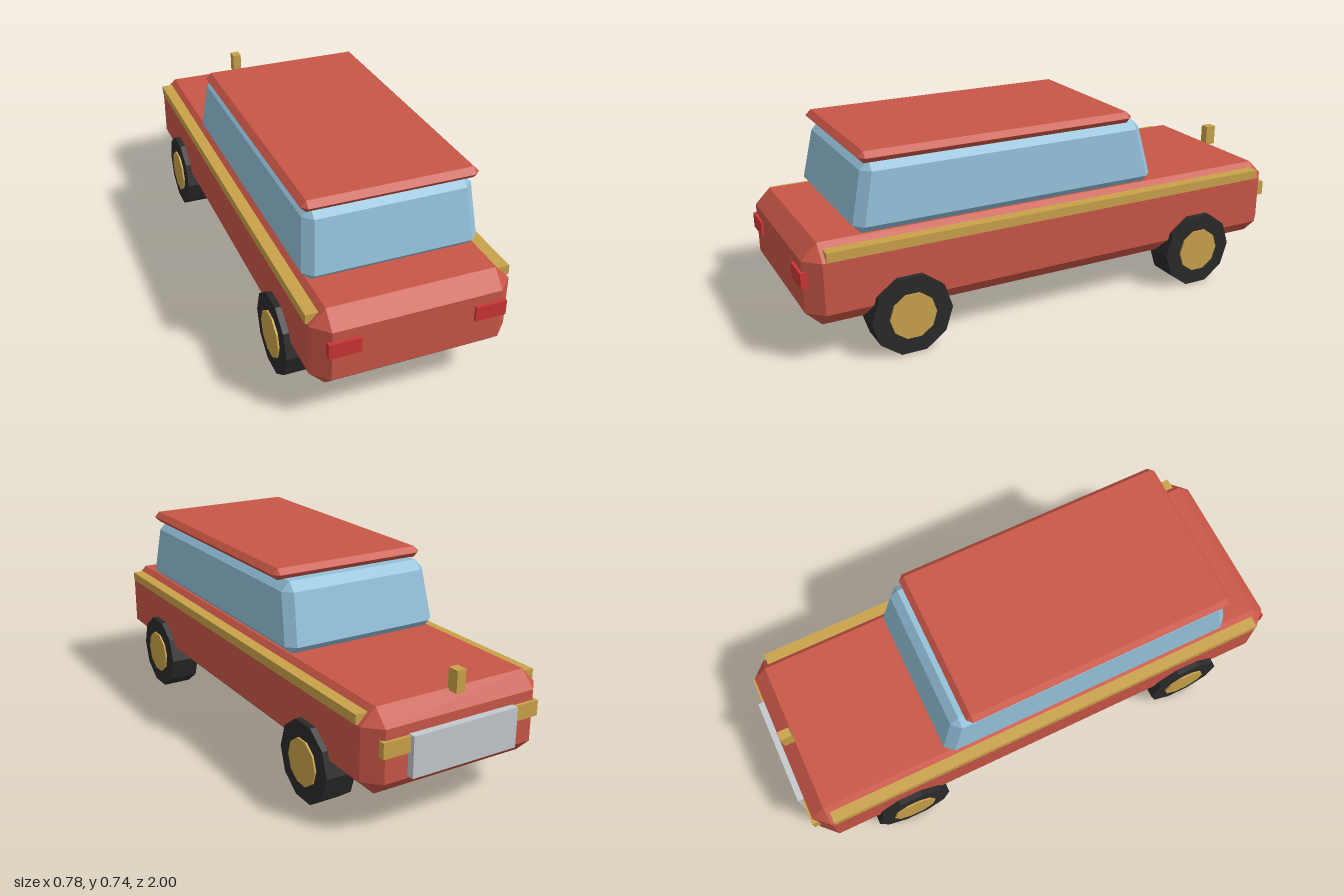
import * as THREE from 'three';
import { ConvexGeometry } from 'three/addons/geometries/ConvexGeometry.js';

const mat = (name, color) => {
  const m = new THREE.MeshStandardMaterial({ color });
  m.name = name;
  return m;
};

// Box with chamfered edges between y0 and y1; the side walls taper from
// the low outline to the high one. An outline is [halfWidth, zBack, zFront].
function chamferedBox(low, high, y0, y1, c) {
  const pts = [];
  for (const [[w, zb, zf], yCap, yWall] of [[low, y0, y0 + c], [high, y1, y1 - c]]) {
    for (const sx of [-1, 1]) {
      for (const [z, sz] of [[zb, -1], [zf, 1]]) {
        pts.push(
          new THREE.Vector3(sx * (w - c), yCap, z - sz * c),
          new THREE.Vector3(sx * w, yWall, z - sz * c),
          new THREE.Vector3(sx * (w - c), yWall, z),
        );
      }
    }
  }
  return new ConvexGeometry(pts);
}

export function createModel() {
  const car = new THREE.Group();
  car.name = 'car';
  const red = mat('red paint', 0xc85646);
  const glass = mat('blue glass', 0x92c0d8);
  const gold = mat('gold trim', 0xc9a24a);
  const rubber = mat('black rubber', 0x2a2a2a);
  const lamp = mat('lamp red', 0xcc3535);
  const silver = mat('silver', 0xc2c8cc);

  const add = (name, geo, material, parent = car) => {
    const mesh = new THREE.Mesh(geo, material);
    mesh.name = name;
    parent.add(mesh);
    return mesh;
  };
  // Box given by its extents
  const box = (name, material, x0, x1, y0, y1, z0, z1) =>
    add(name, new THREE.BoxGeometry(x1 - x0, y1 - y0, z1 - z0), material)
      .position.set((x0 + x1) / 2, (y0 + y1) / 2, (z0 + z1) / 2);

  // Body, cabin and roof
  const hull = [0.362, -0.972, 0.99];
  add('body', chamferedBox(hull, hull, 0.147, 0.452, 0.057), red);
  add('cabin', chamferedBox([0.323, -0.415, 0.8], [0.308, -0.368, 0.76], 0.447, 0.702, 0.033), glass);
  const slab = [0.32, -0.315, 0.772];
  add('roof', chamferedBox(slab, slab, 0.7, 0.742, 0.0205), red);

  // Hood ornament and grille
  box('hoodOrnament', gold, -0.018, 0.018, 0.445, 0.525, -0.957, -0.913);
  box('grille', silver, -0.215, 0.215, 0.213, 0.361, -1, -0.96);

  // Mirrored trim and lamps
  for (const [side, s] of [['left', 1], ['right', -1]]) {
    const pair = (name, material, a, b, ...rest) =>
      box(side + name, material, Math.min(s * a, s * b), Math.max(s * a, s * b), ...rest);
    pair('SideTrim', gold, 0.321, 0.369, 0.398, 0.433, -0.9, 0.92);
    pair('TailLight', lamp, 0.205, 0.32, 0.3, 0.357, 0.975, 1);
    pair('HeadLight', gold, 0.205, 0.32, 0.3, 0.357, -0.984, -0.958);
  }

  // Ten-sided wheels, each with a hub showing on both faces
  const disc = (r, width) => new THREE.CylinderGeometry(r, r, width, 10).rotateZ(Math.PI / 2).toNonIndexed();
  const tireGeo = disc(0.1525, 0.116);
  const hubGeo = disc(0.088, 0.13);
  tireGeo.computeVertexNormals();
  hubGeo.computeVertexNormals();
  for (const [end, z] of [['front', 0.63], ['rear', -0.607]]) {
    for (const [side, s] of [['Left', 1], ['Right', -1]]) {
      const wheel = new THREE.Group();
      wheel.name = end + side + 'Wheel';
      wheel.position.set(s * 0.326, 0.145, z);
      add('tire', tireGeo, rubber, wheel);
      add('hub', hubGeo, gold, wheel);
      car.add(wheel);
    }
  }
  return car;
}
